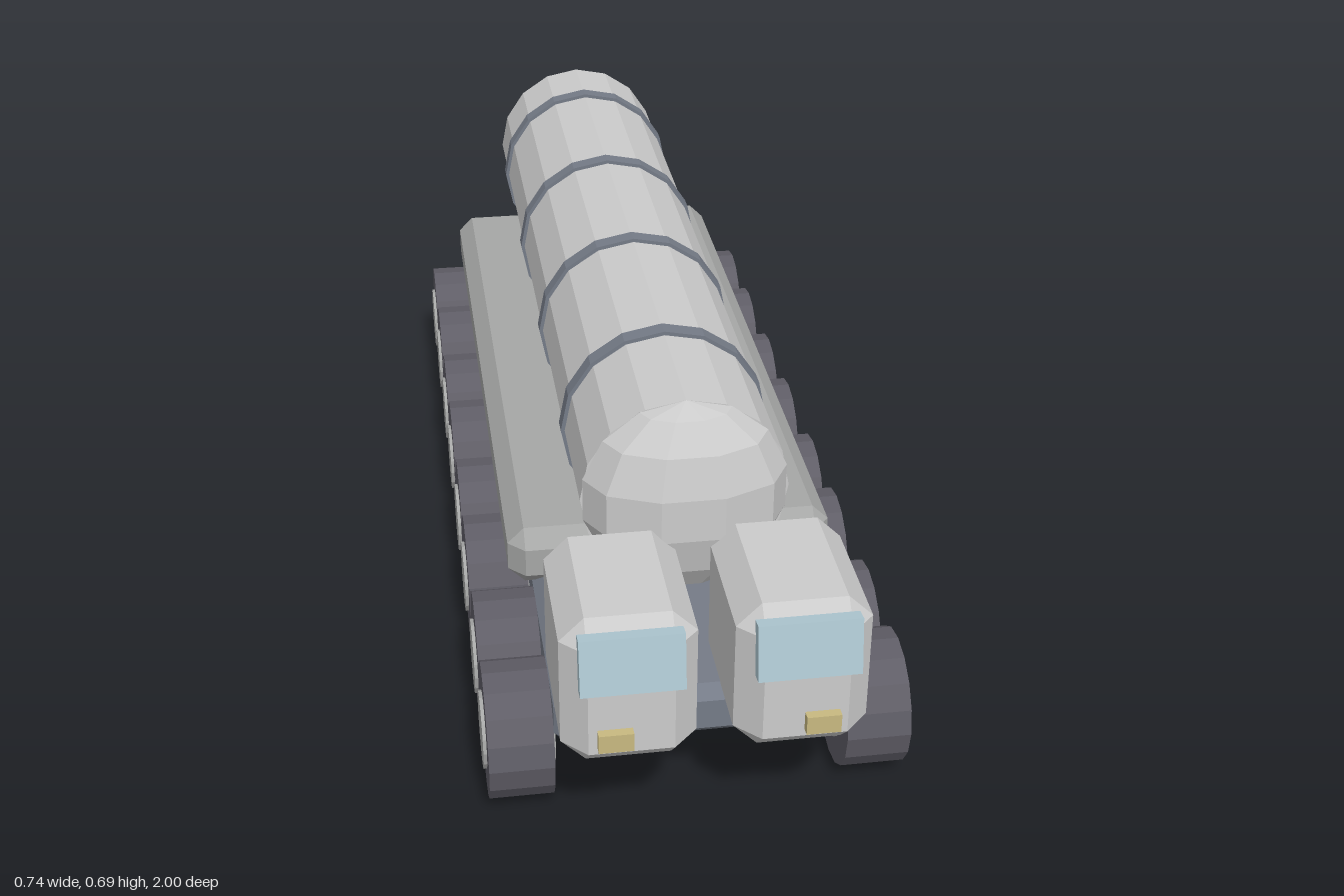
import * as THREE from 'three';
import { ConvexGeometry } from 'three/addons/geometries/ConvexGeometry.js';

const mat = (name, color) => {
  const m = new THREE.MeshStandardMaterial({ color, flatShading: true });
  m.name = name;
  return m;
};

// Box with every edge and corner cut off by the bevel c
function bevelBox(w, h, d, c) {
  const pts = [];
  for (const x of [-1, 1]) for (const y of [-1, 1]) for (const z of [-1, 1]) {
    for (let full = 0; full < 3; full++) {
      const cut = (axis) => (axis === full ? 0 : c);
      pts.push(new THREE.Vector3(x * (w / 2 - cut(0)), y * (h / 2 - cut(1)), z * (d / 2 - cut(2))));
    }
  }
  return new ConvexGeometry(pts);
}

export function createModel() {
  const body = mat('light grey body', 0xcbcbcb);
  const deckGrey = mat('mid grey', 0xa6a7a6);
  const steel = mat('slate steel', 0x757b87);
  const rubber = mat('dark rubber', 0x5f5d66);
  const glass = mat('pale blue glass', 0xb0cad4);
  const amber = mat('amber lamp', 0xc8b980);

  const model = new THREE.Group();
  model.name = 'tankTransporter';
  const add = (parent, name, geometry, material, x, y, z) => {
    const mesh = new THREE.Mesh(geometry, material);
    mesh.name = name;
    mesh.position.set(x, y, z);
    parent.add(mesh);
    return mesh;
  };

  // Chassis and the wide deck above it
  add(model, 'chassis', bevelBox(0.504, 0.1, 1.845, 0.022), steel, 0, 0.206, -0.073);
  add(model, 'deck', bevelBox(0.59, 0.114, 1.42, 0.03), deckGrey, 0, 0.296, -0.215);

  // Tank with a squashed dome at the front and four straps
  const tankY = 0.507;
  add(model, 'tank', new THREE.CylinderGeometry(0.18, 0.18, 1.595, 16).rotateX(Math.PI / 2), body, 0, tankY, -0.172);
  add(model, 'tankDome', new THREE.SphereGeometry(0.18, 10, 7).scale(1, 1, 0.56), body, 0, tankY, 0.625);
  const strap = new THREE.CylinderGeometry(0.187, 0.187, 0.032, 16).rotateX(Math.PI / 2);
  for (const z of [0.377, -0.013, -0.407, -0.8]) add(model, 'tankStrap', strap, steel, 0, tankY, z);

  // Twin cabs, each with a sloped windscreen and one headlamp
  const cabGeo = bevelBox(0.222, 0.28, 0.31, 0.041);
  const screenGeo = new THREE.BoxGeometry(0.168, 0.098, 0.026);
  const lampGeo = new THREE.BoxGeometry(0.057, 0.034, 0.03);
  for (const s of [-1, 1]) {
    const cab = new THREE.Group();
    cab.name = s > 0 ? 'leftCab' : 'rightCab';
    add(cab, 'cabBody', cabGeo, body, s * 0.141, 0.353, 0.827);
    add(cab, 'windscreen', screenGeo, glass, s * 0.141, 0.429, 0.979).rotation.x = -0.16;
    add(cab, 'headlamp', lampGeo, amber, s * 0.168, 0.285, 0.983);
    model.add(cab);
  }

  // Eight wheels a side, set in four pairs
  const tyreGeo = new THREE.CylinderGeometry(0.119, 0.119, 0.112, 16).rotateZ(Math.PI / 2);
  const hubGeo = new THREE.CylinderGeometry(0.068, 0.068, 0.124, 16).rotateZ(Math.PI / 2);
  for (const s of [-1, 1]) for (const pair of [0.623, 0.158, -0.291, -0.736]) for (const dz of [-0.105, 0.105]) {
    const wheel = new THREE.Group();
    wheel.name = 'wheel';
    wheel.position.set(s * 0.308, 0.119, pair + dz);
    add(wheel, 'tyre', tyreGeo, rubber, 0, 0, 0);
    add(wheel, 'hub', hubGeo, deckGrey, 0, 0, 0);
    model.add(wheel);
  }

  return model;
}
